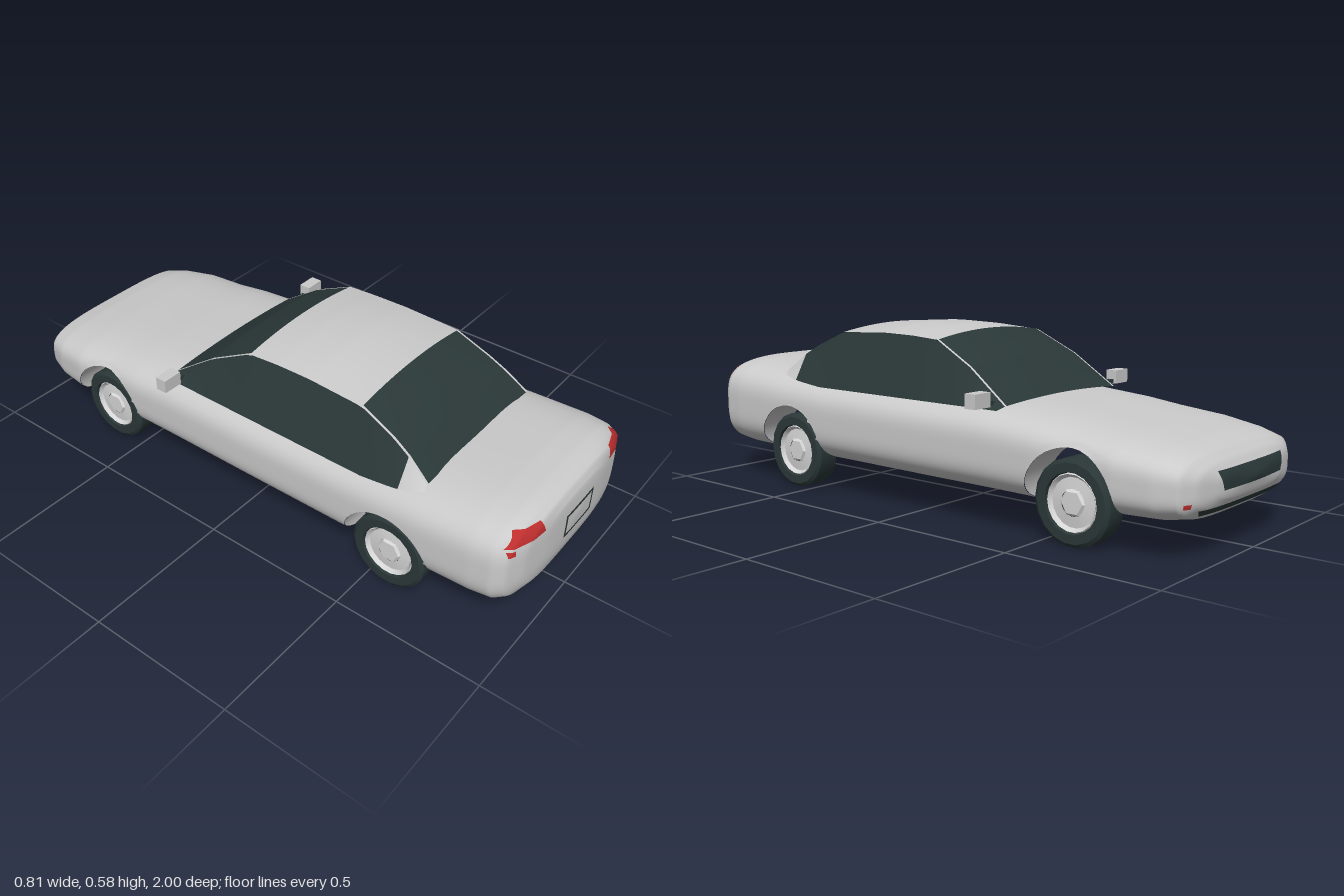
import * as THREE from 'three';
import { mergeVertices, toCreasedNormals } from 'three/addons/utils/BufferGeometryUtils.js';

const mat = (name, color) => Object.assign(new THREE.MeshStandardMaterial({ color }), { name });
const lerp = THREE.MathUtils.lerp;

// body stations: z, half width, bottom, top
const STATIONS = [
  [-1, 0, 0.21, 0.21], [-0.988, 0.18, 0.165, 0.243], [-0.97, 0.27, 0.135, 0.27], [-0.94, 0.325, 0.11, 0.295],
  [-0.87, 0.35, 0.098, 0.314], [-0.75, 0.368, 0.095, 0.334], [-0.6, 0.362, 0.093, 0.352], [-0.48, 0.37, 0.093, 0.367],
  [-0.3, 0.371, 0.094, 0.383], [0, 0.372, 0.095, 0.39], [0.4, 0.372, 0.097, 0.4], [0.65, 0.373, 0.098, 0.418],
  [0.85, 0.368, 0.1, 0.43], [0.92, 0.36, 0.106, 0.428], [0.955, 0.336, 0.122, 0.42], [0.98, 0.27, 0.15, 0.405],
  [0.994, 0.16, 0.2, 0.375], [1, 0, 0.29, 0.29]];
// cabin stations: z, edge height, half width, crown
const CABIN = [
  [-0.33, 0.37, 0.292, 0.012], [-0.18, 0.474, 0.276, 0.018], [-0.03, 0.548, 0.26, 0.022], [0.08, 0.555, 0.258, 0.026],
  [0.2, 0.557, 0.258, 0.027], [0.4, 0.548, 0.26, 0.022], [0.52, 0.496, 0.268, 0.015], [0.58, 0.462, 0.275, 0.012],
  [0.655, 0.405, 0.288, 0.012]];
const WHEEL_Y = 0.13, ARCH_Y = 0.138, ARCH_R = 0.153, AXLES = [0.57, -0.61], POWER = 3.5;

function sample(table, z) {
  let i = 0;
  while (i < table.length - 2 && z > table[i + 1][0]) i++;
  const a = table[i], b = table[i + 1], t = (z - a[0]) / (b[0] - a[0]);
  return a.map((v, k) => lerp(v, b[k], t));
}

// surface over u, v in 0..1; its front is du x dv unless flipped
function grid(fn, nu, nv, flip = false) {
  const pos = [], idx = [];
  for (let j = 0; j <= nv; j++) for (let i = 0; i <= nu; i++) pos.push(...fn(i / nu, j / nv));
  for (let j = 0; j < nv; j++) for (let i = 0; i < nu; i++) {
    const a = j * (nu + 1) + i, b = a + 1, c = a + nu + 1, d = c + 1;
    idx.push(...(flip ? [a, c, b, b, c, d] : [a, b, c, b, d, c]));
  }
  const g = new THREE.BufferGeometry();
  g.setAttribute('position', new THREE.Float32BufferAttribute(pos, 3));
  g.setIndex(idx);
  const merged = mergeVertices(g, 1e-5);
  merged.computeVertexNormals();
  return merged;
}

// how far out a point is in the body's cross-section (below 1 is inside)
function reach(x, y, z) {
  const [, w, b, t] = sample(STATIONS, z);
  return Math.pow(Math.abs(x) / (w + 1e-6), POWER) + Math.pow(Math.abs(y - (b + t) / 2) / ((t - b) / 2 + 1e-6), POWER);
}

function bodyGeometry() {
  const g = grid((u, v) => {
    const z0 = -Math.cos(v * Math.PI), a = u * Math.PI * 2;
    const [, w, b, t] = sample(STATIONS, z0);
    const c = Math.cos(a), s = Math.sin(a);
    const r = Math.pow(Math.abs(c) ** POWER + Math.abs(s) ** POWER, -1 / POWER);
    let x = w * r * c, y = (b + t) / 2 + (t - b) / 2 * r * s, z = z0;
    // pull nearby vertices onto the arch edge
    for (const az of AXLES) {
      const d = Math.hypot(z - az, y - ARCH_Y);
      if (Math.abs(x) > 0.24 && Math.abs(d - ARCH_R) < 0.008) {
        z = az + (z - az) * ARCH_R / d;
        y = ARCH_Y + (y - ARCH_Y) * ARCH_R / d;
      }
    }
    return [x, y, z];
  }, 128, 160);
  // open the wheel arches
  const p = g.attributes.position, src = g.index.array, keep = [];
  for (let i = 0; i < src.length; i += 3) {
    const f = [src[i], src[i + 1], src[i + 2]];
    const mean = (k) => f.reduce((s, n) => s + p.getComponent(n, k), 0) / 3;
    const cut = Math.abs(mean(0)) > 0.245 && AXLES.some((az) => Math.hypot(mean(2) - az, mean(1) - ARCH_Y) < ARCH_R - 0.001);
    if (!cut) keep.push(...f);
  }
  g.setIndex(keep);
  return g;
}

// thin patch on the tail (end = 1) or nose (end = -1); corners: bottom left, bottom right, top right, top left
function patch([a, b, c, d], end, n = 16) {
  return grid((u, v) => {
    const x = lerp(lerp(a[0], b[0], u), lerp(d[0], c[0], u), v);
    const y = lerp(lerp(a[1], b[1], u), lerp(d[1], c[1], u), v);
    let inner = 0.6, outer = 1;
    for (let k = 0; k < 24; k++) {
      const m = (inner + outer) / 2;
      if (reach(x, y, m * end) < 1) inner = m; else outer = m;
    }
    return [x, y, (inner + 0.004) * end];
  }, n, 6, end < 0);
}
const rect = (x0, x1, y0, y1) => [[x0, y0], [x1, y0], [x1, y1], [x0, y1]];

export function createModel() {
  const car = new THREE.Group();
  car.name = 'car';
  const paint = mat('silver paint', 0xcacaca), dark = mat('dark glass and rubber', 0x2b3838);
  const red = mat('red lamp', 0xbe2e2e), rimMat = mat('light rim', 0xd6d6d6);
  const add = (name, geo, material, parent = car) => {
    const m = new THREE.Mesh(geo, material);
    m.name = name;
    parent.add(m);
    return m;
  };

  add('body', bodyGeometry(), paint);

  // cabin top: windscreen, roof and rear window, with slim pillars along the edges
  const top = (z0, z1, u0, u1) => grid((u, v) => {
    const [z, y, w, crown] = sample(CABIN, lerp(z0, z1, v)), s = lerp(u0, u1, u);
    return [s * w, y + crown * (1 - s * s), z];
  }, 16, 24, true);
  add('roof', top(-0.03, 0.4, -1, 1), paint);
  for (const [name, z0, z1] of [['windscreen', -0.33, -0.03], ['rearWindow', 0.4, 0.655]]) {
    add(name, top(z0, z1, -0.97, 0.97), dark);
    add(name + 'PillarRight', top(z0, z1, -1, -0.97), paint);
    add(name + 'PillarLeft', top(z0, z1, 0.97, 1), paint);
  }

  for (const s of [1, -1]) {
    const side = s > 0 ? 'Left' : 'Right';
    // cabin sides
    const flank = (z0, z1) => grid((u, v) => {
      const [z, y, w] = sample(CABIN, lerp(z0, z1, v));
      return [s * lerp(0.332, w, u), lerp(0.362, y, u), z];
    }, 6, 32, s < 0);
    add('sideWindow' + side, flank(-0.33, 0.58), dark);
    add('rearPillar' + side, flank(0.58, 0.655), paint);

    // door mirror
    add('mirror' + side, new THREE.BoxGeometry(0.07, 0.045, 0.04), paint).position.set(s * 0.37, 0.394, -0.29);
    add('mirrorStem' + side, new THREE.BoxGeometry(0.04, 0.012, 0.02), dark).position.set(s * 0.325, 0.38, -0.29);

    // tail lamps and front markers
    const mirror = (q) => (s > 0 ? q : q.map(([x, y]) => [-x, y]).map((_, i, m) => m[[1, 0, 3, 2][i]]));
    add('tailLamp' + side, patch(mirror([[0.195, 0.36], [0.335, 0.36], [0.29, 0.398], [0.208, 0.398]]), 1), red);
    add('tailMarker' + side, patch(mirror(rect(0.312, 0.334, 0.336, 0.353)), 1), red);
    add('frontMarker' + side, patch(mirror(rect(0.29, 0.312, 0.16, 0.173)), -1), red);

    for (const az of AXLES) {
      const where = (az > 0 ? 'Rear' : 'Front') + side;
      // arch lining, running out to the body side
      add('wheelArch' + where, grid((u, v) => {
        const a = lerp(-0.25, Math.PI + 0.25, u);
        const y = ARCH_Y + ARCH_R * Math.sin(a), z = az + ARCH_R * Math.cos(a);
        const [, w, b, t] = sample(STATIONS, z);
        const k = Math.min(1, Math.abs(y - (b + t) / 2) / ((t - b) / 2));
        const out = Math.max(0.25, w * Math.pow(1 - k ** POWER, 1 / POWER) - 0.002);
        return [s * lerp(0.245, out, v), y, z];
      }, 32, 2, s < 0), paint);

      // wheel
      const wheel = new THREE.Group();
      wheel.name = 'wheel' + where;
      const turned = (pts, n) => toCreasedNormals(
        new THREE.LatheGeometry(pts.map(([r, h]) => new THREE.Vector2(r, h)), n).rotateZ(-Math.PI / 2), 0.5);
      add('tyre', turned([[0, -0.03], [0.085, -0.035], [0.09, -0.043], [0.118, -0.043], [0.13, -0.034], [0.13, 0.034],
        [0.118, 0.043], [0.09, 0.043], [0.085, 0.025]], 18), dark, wheel);
      add('rim', turned([[0.089, 0.03], [0.084, 0.038], [0.074, 0.026], [0.04, 0.03]], 18), rimMat, wheel);
      add('hub', turned([[0.045, 0.028], [0.036, 0.036], [0, 0.036]], 6), rimMat, wheel);
      wheel.position.set(s * 0.303, WHEEL_Y, az);
      if (s < 0) wheel.rotation.y = Math.PI;
      car.add(wheel);
    }
  }

  // number plate frame
  for (const y of [0.25, 0.325]) add('plateFrameBar', patch(rect(-0.083, 0.083, y, y + 0.01), 1), dark);
  for (const x of [-0.083, 0.073]) add('plateFrameSide', patch(rect(x, x + 0.01, 0.25, 0.335), 1), dark);

  // bumper strips and grille
  add('rearBumperStrip', patch([[-0.27, 0.142], [0.27, 0.142], [0.315, 0.163], [-0.315, 0.163]], 1, 40), dark);
  add('rearBumperLine', patch(rect(-0.235, 0.235, 0.125, 0.13), 1, 40), dark);
  add('grille', patch([[-0.17, 0.195], [0.17, 0.195], [0.19, 0.25], [-0.19, 0.25]], -1, 40), dark);
  add('frontIntake', patch([[-0.24, 0.13], [0.24, 0.13], [0.26, 0.15], [-0.26, 0.15]], -1, 40), dark);
  return car;
}
